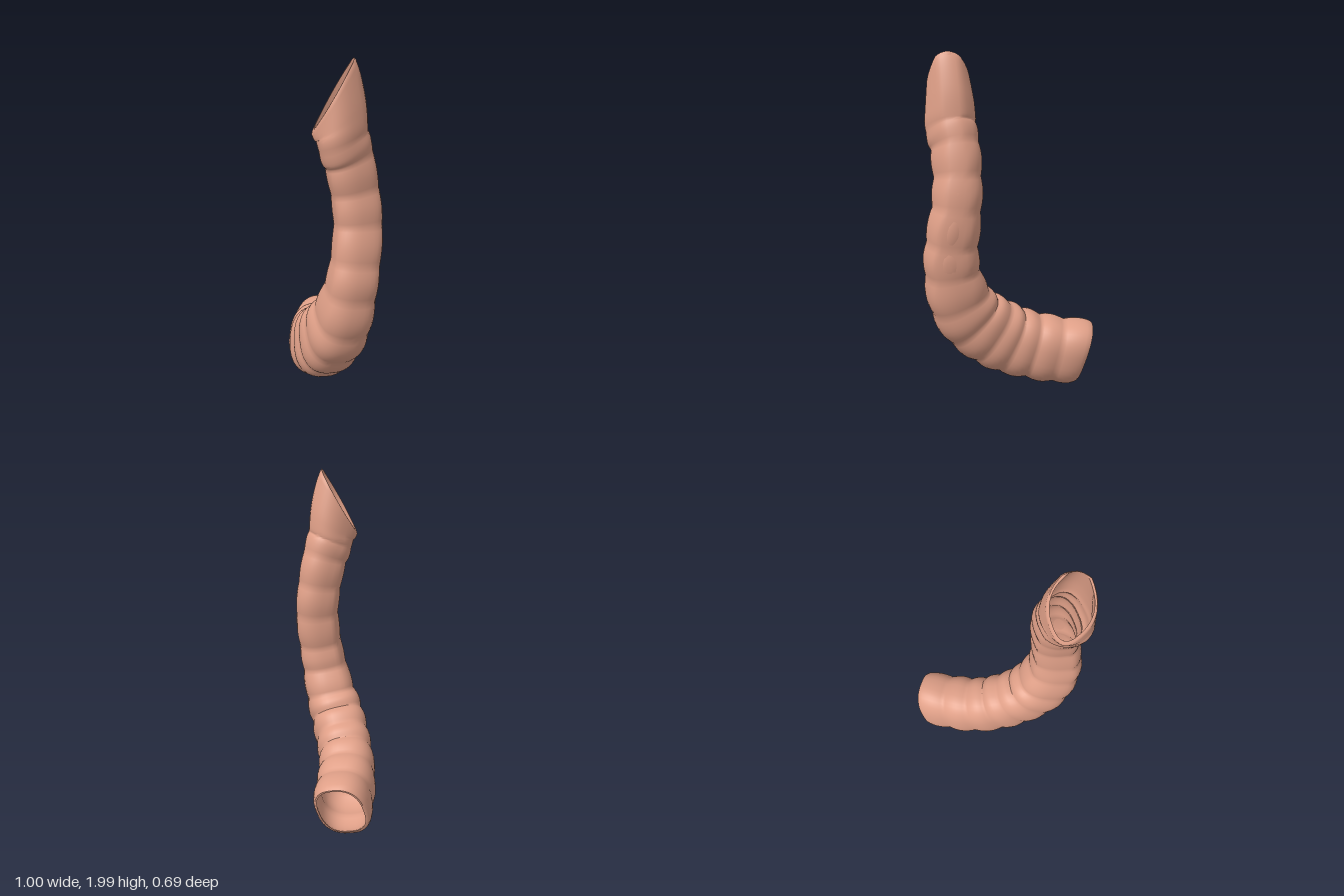
import * as THREE from 'three';
import { toCreasedNormals } from 'three/addons/utils/BufferGeometryUtils.js';

// One row per notch between the swollen rings, from the wide lower end to the slanted tip:
// centre x, y, z, half height in the bend, half width, yaw in degrees, slant of the section
const STATIONS = [
  [-0.4, 0.215, -0.225, 0.195, 0.15, 42, 0],
  [-0.28, 0.225, -0.11, 0.2, 0.162, 38, 0],
  [-0.16, 0.26, -0.005, 0.2, 0.165, 35, 0],
  [-0.04, 0.31, 0.07, 0.205, 0.163, 32, 0],
  [0.07, 0.382, 0.12, 0.205, 0.163, 30, 0],
  [0.18, 0.475, 0.16, 0.195, 0.162, 28, 0],
  [0.267, 0.6, 0.172, 0.18, 0.16, 25, 0],
  [0.325, 0.78, 0.17, 0.155, 0.155, 20, 0],
  [0.34, 0.95, 0.15, 0.143, 0.15, 18, 0],
  [0.328, 1.15, 0.122, 0.13, 0.147, 15, 0],
  [0.31, 1.33, 0.13, 0.122, 0.145, 10, 0],
  [0.298, 1.5, 0.163, 0.12, 0.146, 5, 0.05],
  [0.295, 1.6, 0.2, 0.123, 0.145, 0, 0.2],
  [0.292, 1.7, 0.208, 0.122, 0.14, 0, 0.6],
  [0.278, 1.84, 0.235, 0.112, 0.112, 0, 1.5],
];
const LAST = STATIONS.length - 1;
const STEPS = 8;   // rows per ring
const SIDES = 40;
const WALL = 0.014;
const FLAT = new THREE.Vector3(-0.63, 0, 0.78);   // side of the shaft that is flattened and cut away
const { clamp, smoothstep, degToRad } = THREE.MathUtils;

// Smooth interpolation of one column of the stations
function sample(t, col) {
  const i = Math.min(Math.floor(t), LAST - 1), f = t - i;
  const v = (k) => STATIONS[clamp(k, 0, LAST)][col];
  const a = v(i - 1), b = v(i), c = v(i + 1), d = v(i + 2);
  return b + 0.5 * f * (c - a + f * (2 * a - 5 * b + 4 * c - d + f * (3 * (b - c) + d - a)));
}
const centre = (t) => new THREE.Vector3(sample(t, 0), sample(t, 1), sample(t, 2));
const power = (v) => Math.sign(v) * Math.abs(v) ** 0.8;

// A rounded-square section at station t, shrunk by inset
function section(t, inset) {
  const c = centre(t);
  const tangent = centre(Math.min(t + 0.15, LAST)).sub(centre(Math.max(t - 0.15, 0))).normalize();
  tangent.y += 0.23 * clamp(1 - t / 1.5, 0, 1);   // the lower mouth leans outward at its top
  tangent.normalize();
  const yaw = degToRad(sample(t, 5));
  const across = new THREE.Vector3(-Math.sin(yaw), 0, Math.cos(yaw));
  across.addScaledVector(tangent, -across.dot(tangent)).normalize();
  across.applyAxisAngle(tangent, -0.25 * clamp(1 - t / 4, 0, 1));   // the lower end is rolled
  const normal = across.clone().cross(tangent);
  // Swelling between notches, fading out toward the slanted tip
  const fade = clamp((13 - t) / 2, 0, 1);
  const swell = 1 + fade * (0.08 * Math.abs(Math.sin(Math.PI * t)) - 0.035);
  const slant = sample(t, 6);
  const shaft = smoothstep(t, 5, 8), tip = clamp((t - 12) / 2, 0, 1);
  const ring = [];
  for (let j = 0; j < SIDES; j++) {
    const a = (j / SIDES) * Math.PI * 2;
    const off = normal.clone().multiplyScalar(power(Math.cos(a)) * (sample(t, 3) * swell - inset))
      .addScaledVector(across, power(Math.sin(a)) * (sample(t, 4) * swell - inset));
    // Press in the flat side, and round off the side opposite
    const d = off.dot(FLAT);
    const press = Math.max(0, d + inset - 0.1) * 0.55 * (1 - tip);
    const round = Math.max(0, -d - inset - 0.13 + 0.05 * tip ** 3) * 0.6;
    off.addScaledVector(FLAT, shaft * (round - press));
    off.y -= slant * off.dot(FLAT);
    ring.push(off.add(c));
  }
  return ring;
}

// Outer skin upward, then the inner skin back down, closed into one thin wall
function hoseGeometry() {
  const rows = [];
  const count = LAST * STEPS;
  for (let i = 0; i <= count; i++) rows.push(section(i / STEPS, i === 0 || i === count ? 0.004 : 0));
  for (let i = count; i >= 0; i--) rows.push(section(i / STEPS, WALL));
  const positions = [], index = [];
  rows.forEach((ring) => ring.forEach((p) => positions.push(p.x, p.y, p.z)));
  for (let i = 0; i < rows.length; i++) {
    const k = (i + 1) % rows.length;
    for (let j = 0; j < SIDES; j++) {
      const m = (j + 1) % SIDES;
      const a = i * SIDES + j, b = i * SIDES + m, c = k * SIDES + m, d = k * SIDES + j;
      index.push(a, b, c, a, c, d);
    }
  }
  const geometry = new THREE.BufferGeometry();
  geometry.setAttribute('position', new THREE.Float32BufferAttribute(positions, 3));
  geometry.setIndex(index);
  return toCreasedNormals(geometry, 1.0);
}

export function createModel() {
  const group = new THREE.Group();
  group.name = 'ringedTube';
  const flesh = new THREE.MeshStandardMaterial({ color: 0xe0a088, side: THREE.DoubleSide });
  flesh.name = 'salmon pink';
  const tube = new THREE.Mesh(hoseGeometry(), flesh);
  tube.name = 'tubeWall';
  group.add(tube);
  return group;
}
